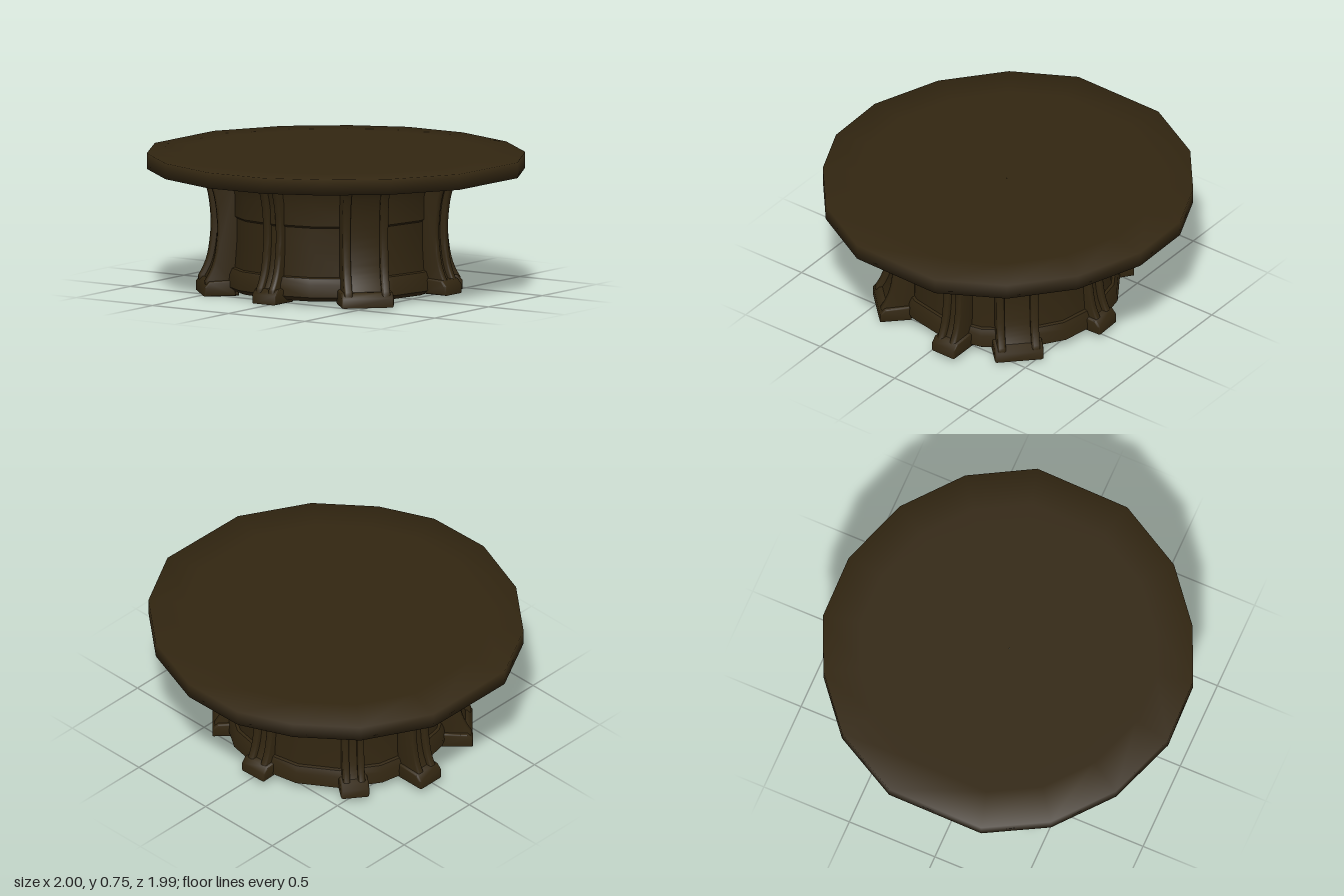
import * as THREE from 'three';
import { toCreasedNormals } from 'three/addons/utils/BufferGeometryUtils.js';

const V = (x, y) => new THREE.Vector2(x, y);

// Slightly irregular sixteen-sided outline of the table top, as x, z
const outline = [
  [0.13, -0.995], [0.51, -0.86], [0.81, -0.61], [1, -0.27], [0.99, 0.26], [0.79, 0.62], [0.51, 0.85], [0.22, 0.98],
  [-0.14, 0.99], [-0.52, 0.85], [-0.82, 0.6], [-1, 0.27], [-0.995, -0.27], [-0.8, -0.63], [-0.52, -0.86], [-0.23, -0.99],
];

// Closed, smooth solid made of scaled copies of the outline, listed from top centre to bottom centre
function outlineSolid(rings) {
  const pos = [], index = [], n = outline.length;
  for (const [scale, y] of rings)
    for (const [x, z] of outline) pos.push(x * scale, y, z * scale);
  for (let r = 0; r < rings.length - 1; r++)
    for (let i = 0; i < n; i++) {
      const a = r * n + i, b = r * n + (i + 1) % n, c = a + n, d = b + n;
      index.push(a, b, d, a, d, c);
    }
  const geo = new THREE.BufferGeometry();
  geo.setAttribute('position', new THREE.Float32BufferAttribute(pos, 3));
  geo.setIndex(index);
  geo.computeVertexNormals();
  return geo;
}

// Side profile (radius, height) extruded across the width of a post, with rounded edges
function slab(points, width, offset = 0) {
  const round = 0.01;
  const geo = new THREE.ExtrudeGeometry(new THREE.Shape(points), {
    depth: width - 2 * round, bevelSize: round, bevelThickness: round, bevelOffset: -round, bevelSegments: 2,
  });
  geo.translate(0, 0, offset - width / 2 + round);
  return toCreasedNormals(geo, 0.9);
}

// Concave outer line of a post, flaring at head and foot
function postProfile(bottom, inset) {
  const curve = new THREE.SplineCurve([
    V(0.685, 0.085), V(0.655, 0.14), V(0.63, 0.22), V(0.615, 0.36),
    V(0.625, 0.5), V(0.65, 0.6), V(0.68, 0.65), V(0.73, 0.675),
  ]);
  const outer = curve.getPoints(20).map(p => V(p.x - inset, p.y));
  return [V(0.5, bottom), V(0.68 - inset, bottom), ...outer, V(0.73 - inset, 0.69), V(0.5, 0.69)];
}

export function createModel() {
  const wood = new THREE.MeshStandardMaterial({ color: 0x322611 });
  wood.name = 'dark wood';
  const model = new THREE.Group();
  model.name = 'roundTable';
  const add = (parent, name, geo) => {
    const mesh = new THREE.Mesh(geo, wood);
    mesh.name = name;
    parent.add(mesh);
    return mesh;
  };

  // Table top with a softly shaded rim
  add(model, 'tableTop', outlineSolid([
    [0.001, 0.757], [0.6, 0.757], [0.8, 0.757], [1, 0.755], [1, 0.67], [0.8, 0.67], [0.6, 0.67], [0.001, 0.67],
  ]));

  // Drum with a base moulding and a shallow step halfway up
  const drum = new THREE.LatheGeometry([
    V(0, 0.04), V(0.5, 0.035), V(0.57, 0.03), V(0.605, 0.055), V(0.6, 0.12), V(0.585, 0.155),
    V(0.57, 0.16), V(0.56, 0.3), V(0.56, 0.425), V(0.57, 0.435), V(0.57, 0.55), V(0.59, 0.64), V(0.61, 0.685),
  ], 16);
  add(model, 'drum', toCreasedNormals(drum, 0.5)).position.x = -0.015;

  // Eight posts: angle, width, radial shift, bottom height, sideways shift
  const posts = [
    ['narrowPostLeft', 0, 0.12, 0.01, 0.035, -0.1],
    ['widePostFrontLeft', 45, 0.25, 0.02, 0.015, -0.05],
    ['narrowPostFront', 90, 0.12, -0.03, 0.012, 0.01],
    ['widePostFrontRight', 135, 0.25, 0.04, 0.005, 0.05],
    ['narrowPostRight', 180, 0.13, 0.06, 0.04, 0.04],
    ['narrowPostBackRight', 217, 0.12, 0, 0.04, 0],
    ['narrowPostBack', 268, 0.13, -0.03, 0.04, 0],
    ['widePostBackLeft', 315, 0.23, -0.03, 0.02, 0.025],
  ];
  for (const [name, degrees, width, shift, bottom, side] of posts) {
    const a = degrees * Math.PI / 180;
    const post = new THREE.Group();
    post.name = name;
    post.rotation.y = -a;
    post.position.set(Math.cos(a) * shift - Math.sin(a) * side, 0, Math.sin(a) * shift + Math.cos(a) * side);
    const rib = width > 0.2 ? 0.045 : 0.038;
    // Recessed panel between two raised edge ribs
    add(post, 'panel', slab(postProfile(bottom, 0.03), width - rib));
    for (const s of [-1, 1])
      add(post, 'edgeRib', slab(postProfile(bottom, 0), rib, s * (width - rib) / 2));
    // Low, slightly wider foot
    add(post, 'foot', slab([
      V(0.52, bottom), V(0.692, bottom), V(0.692, bottom + 0.05), V(0.665, bottom + 0.08), V(0.53, bottom + 0.085),
    ], width + 0.035));
    model.add(post);
  }
  return model;
}
